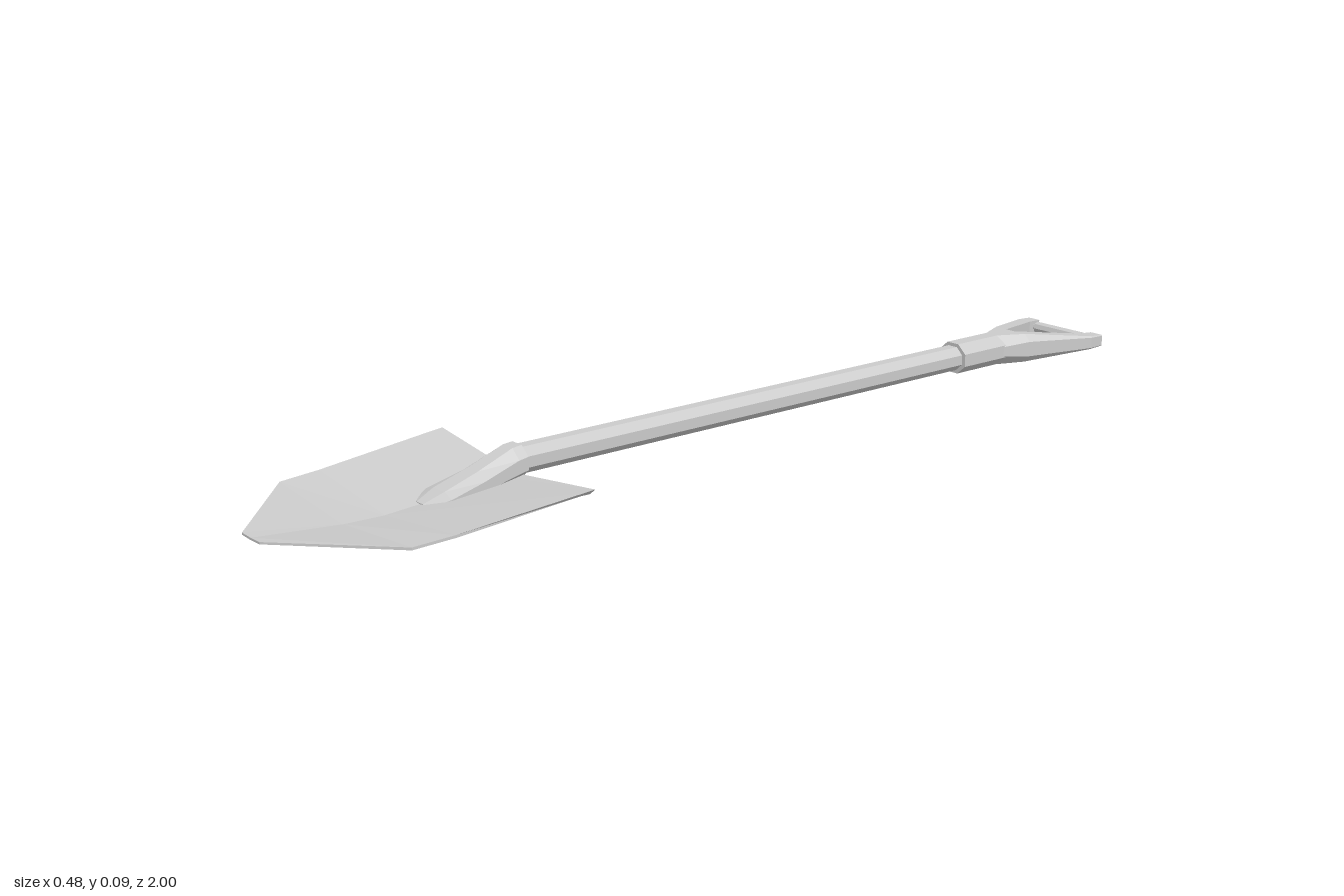
import * as THREE from 'three';

const material = new THREE.MeshStandardMaterial({ color: 0xcccccc, flatShading: true });
const AXIS_Y = 0.06;

function add(group, name, geometry) {
  const mesh = new THREE.Mesh(geometry, material);
  mesh.name = name;
  group.add(mesh);
  return mesh;
}

// Skin between rings { z, pts: [[x, y], ...] }, counter-clockwise, with z increasing; both ends capped
function loft(rings) {
  const n = rings[0].pts.length;
  const last = (rings.length - 1) * n;
  const pos = rings.flatMap(r => r.pts.flatMap(([x, y]) => [x, y, r.z]));
  const idx = [];
  for (let k = 0; k < last; k += n) {
    for (let i = 0; i < n; i++) {
      const j = (i + 1) % n;
      idx.push(k + i, k + j, k + n + j, k + i, k + n + j, k + n + i);
    }
  }
  for (let i = 1; i < n - 1; i++) {
    idx.push(0, i + 1, i, last, last + i, last + i + 1);
  }
  const g = new THREE.BufferGeometry();
  g.setAttribute('position', new THREE.Float32BufferAttribute(pos, 3));
  g.setIndex(idx);
  const flat = g.toNonIndexed();
  flat.computeVertexNormals();
  return flat;
}

// Octagonal cross-section with flat top and sides
function octagon(z, w, y0, y1) {
  const pts = [];
  const k = 1 / Math.cos(Math.PI / 8);
  for (let i = 0; i < 8; i++) {
    const a = (i + 0.5) * Math.PI / 4;
    pts.push([w * k * Math.cos(a), (y0 + y1) / 2 + (y1 - y0) / 2 * k * Math.sin(a)]);
  }
  return { z, pts };
}

// Arm cross-section, chamfered on the outer side; c is the chamfer
function armSection(side, z, xi, xo, h, c) {
  const pts = [
    [xi, -h], [xo - c, -h], [xo, -h + c], [xo, h - c], [xo - c, h], [xi, h],
  ].map(([x, y]) => [side * x, AXIS_Y + y]);
  return { z, pts: side < 0 ? pts.reverse() : pts };
}

export function createModel() {
  const shovel = new THREE.Group();
  shovel.name = 'shovel';

  // Shaft
  add(shovel, 'shaft', loft([
    octagon(-0.66, 0.028, 0.035, 0.085),
    octagon(0.5, 0.028, 0.035, 0.085),
  ]));

  // Blade: z, half width, keel underside, centre top, edge underside, edge top, underside half width
  const blade = [
    [0.48, 0.24, 0.008, 0.035, 0.053, 0.065, 0.225],
    [0.505, 0.239, 0.007, 0.032, 0.057, 0.063, 0.234],
    [0.75, 0.225, 0.002, 0.015, 0.036, 0.041, 0.225],
    [0.83, 0.22, 0.008, 0.017, 0.032, 0.037, 0.22],
    [1, 0.03, 0.028, 0.032, 0.029, 0.033, 0.03],
  ];
  add(shovel, 'blade', loft(blade.map(([z, x, b, c, e, t, u]) => ({
    z, pts: [[0, b], [u, e], [x, t], [0, c], [-x, t], [-u, e]],
  }))));

  // Blade socket, flattening down onto the blade
  add(shovel, 'bladeSocket', loft([
    octagon(0.475, 0.035, 0.03, 0.09),
    octagon(0.495, 0.036, 0.026, 0.088),
    octagon(0.57, 0.039, 0.015, 0.06),
    octagon(0.64, 0.042, 0.01, 0.038),
    octagon(0.68, 0.025, 0.008, 0.022),
  ]));

  // Handle: collar, two forked arms and a cross grip
  const handle = new THREE.Group();
  handle.name = 'handle';
  shovel.add(handle);
  add(handle, 'collar', loft([
    octagon(-0.77, 0.037, 0.028, 0.092),
    octagon(-0.64, 0.037, 0.028, 0.092),
  ]));
  for (const side of [1, -1]) {
    add(handle, side > 0 ? 'leftArm' : 'rightArm', loft([
      armSection(side, -1, 0.075, 0.107, 0.0125, 0.002),
      armSection(side, -0.965, 0.072, 0.107, 0.0145, 0.003),
      armSection(side, -0.82, 0.012, 0.057, 0.031, 0.015),
      armSection(side, -0.82, 0, 0.057, 0.031, 0.015),
      armSection(side, -0.76, 0, 0.037, 0.032, 0.0217),
    ]));
  }
  const bars = [['grip', 0.013, 0.13], ['gripPin', 0.006, 0.17]];
  for (const [name, radius, length] of bars) {
    const bar = add(handle, name, new THREE.CylinderGeometry(radius, radius, length, 8));
    bar.rotation.z = Math.PI / 2;
    bar.position.set(0, AXIS_Y, -0.983);
  }

  return shovel;
}
